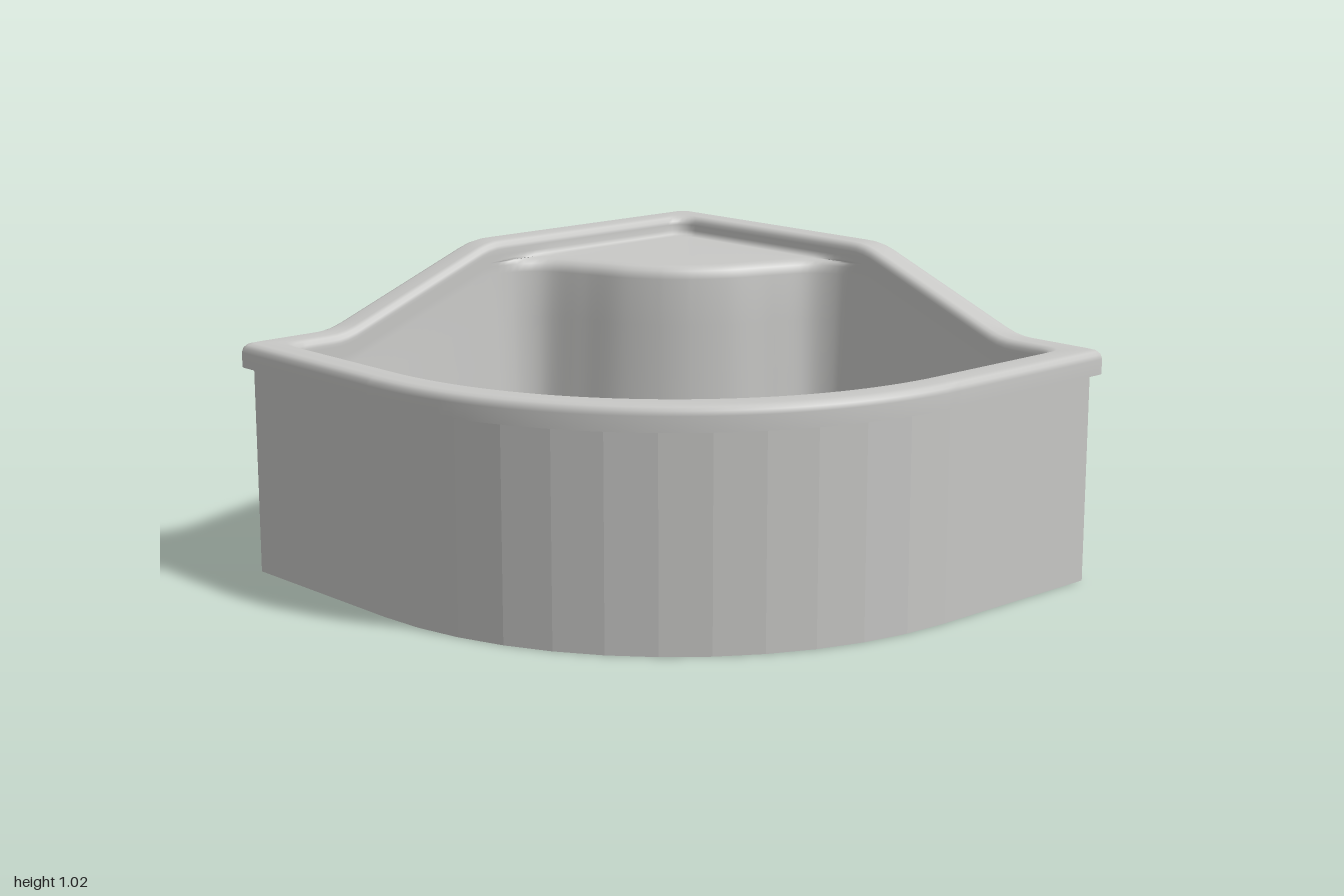
import * as THREE from 'three';

const FLOOR = 0.28, SEAT = 0.95, WALL = 0.12, DRAIN = [-0.6, 0.585];

// Plan outline: square with three small corners and one big quarter round
function outline(inset, r, edgeSteps = 48, arcSteps = 40, cornerSteps = 6) {
  const e = 1 - inset, c = e - r, k = -0.28, pts = [];
  const line = (x0, z0, x1, z1) => {
    for (let j = 0; j < edgeSteps; j++) {
      const t = j / edgeSteps;
      pts.push([x0 + (x1 - x0) * t, z0 + (z1 - z0) * t]);
    }
  };
  const arc = (cx, cz, rad, from, n) => {
    for (let j = 0; j < n; j++) {
      const a = from + (j / n) * Math.PI / 2;
      pts.push([cx + rad * Math.cos(a), cz + rad * Math.sin(a)]);
    }
  };
  line(-e, c, -e, -c);
  arc(-c, -c, r, Math.PI, cornerSteps);
  line(-c, -e, c, -e);
  arc(c, -c, r, -Math.PI / 2, cornerSteps);
  line(e, -c, e, k);
  arc(k, k, e - k, 0, arcSteps);
  line(k, e, -c, e);
  arc(-c, c, r, Math.PI / 2, cornerSteps);
  return pts;
}

// Rim height: high round the back corner, sloping down along both walls
function rimHeight(x, z) {
  if (Math.min(x, z) > -0.7) return 0.78;
  let sum = 0;
  for (let j = -3; j <= 3; j++) {
    const t = (Math.max(x, z) + j * 0.015 - 0.03) / 0.62;
    sum += 1.02 - 0.24 * Math.min(1, Math.max(0, t));
  }
  return sum / 7;
}

// Skin a list of closed rings
function loft(rings, flat) {
  const n = rings[0].length, index = [];
  for (let k = 0; k < rings.length - 1; k++) {
    for (let i = 0; i < n; i++) {
      const a = k * n + i, b = k * n + (i + 1) % n;
      index.push(a, a + n, b, b, a + n, b + n);
    }
  }
  let g = new THREE.BufferGeometry();
  g.setAttribute('position', new THREE.Float32BufferAttribute(rings.flat(2), 3));
  g.setIndex(index);
  if (flat) g = g.toNonIndexed();
  g.computeVertexNormals();
  return g;
}

export function createModel() {
  const group = new THREE.Group();
  const acrylic = new THREE.MeshStandardMaterial({ color: 0xc8c8c6, side: THREE.DoubleSide });
  acrylic.name = 'light grey acrylic';
  const add = (name, geometry) => {
    const mesh = new THREE.Mesh(geometry, acrylic);
    mesh.name = name;
    group.add(mesh);
    return mesh;
  };

  // Ring whose height is measured from the rim top
  const rimRing = (inset, drop, r) =>
    outline(inset, r).map(([x, z]) => [x, rimHeight(x, z) - drop, z]);

  // Hollow skirt with a sloping top and open bottom
  const skirtRing = (inset, y) => outline(inset, 0.001, 48, 12, 1)
    .map(([x, z]) => [x, y ?? rimHeight(x, z) - 0.075, z]);
  add('skirt', loft([skirtRing(0.095), skirtRing(0.095, 0), skirtRing(0.035, 0), skirtRing(0.035)], true));

  // Underside of the overhanging rim
  add('rimUnderside', loft([rimRing(0.06, 0.08, 0.03), rimRing(0, 0.08, 0.03)]));

  // S-shaped front edge of the corner seat
  const half = [[-0.88, 0], [-0.865, -0.07], [-0.81, -0.15], [-0.68, -0.21], [-0.52, -0.27]];
  const seatPts = [...half, [-0.375, -0.375], ...half.map(([x, z]) => [z, x]).reverse()];
  const seatCurve = new THREE.CatmullRomCurve3(seatPts.map(([x, z]) => new THREE.Vector3(x, 0, z)));

  // For every point of the inner rim: matching seat edge point, if any
  const inner = outline(WALL, 0.07);
  const stations = inner.map(([x, z]) => {
    const level = Math.min(SEAT, rimHeight(x, z) - 0.06);
    if (Math.min(x, z) > -0.7 || Math.max(x, z) >= -0.001) return { x, z, level, seat: null };
    const u = Math.min(1, Math.max(0, (x - z + 0.88) / 1.76));
    const p = seatCurve.getPointAt(u), t = seatCurve.getTangentAt(u);
    const gap = Math.hypot(p.x - x, p.z - z);
    return { x, z, level, seat: { p, t, gap, w: Math.min(1, gap / 0.1) } };
  });

  // Ring on the seat: a given distance away from the rim
  const seatRing = (dist, rise) => stations.map(({ x, z, level, seat }) => {
    if (!seat) return [x, level + rise, z];
    const f = seat.gap > 1e-5 ? dist * seat.w / seat.gap : 0;
    return [x + (seat.p.x - x) * f, level + rise, z + (seat.p.z - z) * f];
  });
  // Ring on the basin wall: offset d inward; y fixed or dropped from seat level
  const wallRing = (d, yOf) => {
    const plain = outline(WALL + Math.max(0, d), 0.07);
    return stations.map(({ level, seat }, i) => {
      const y = yOf(level);
      if (!seat) return [plain[i][0], y, plain[i][1]];
      const o = d < 0 ? d * seat.w : d;
      return [seat.p.x - seat.t.z * o, y, seat.p.z + seat.t.x * o];
    });
  };

  const rings = [
    // rounded rim
    rimRing(0, 0.08, 0.03), rimRing(0, 0.03, 0.03), rimRing(0.004, 0.015, 0.03),
    rimRing(0.013, 0.005, 0.03), rimRing(0.03, 0, 0.03), rimRing(0.095, 0, 0.06),
    rimRing(0.11, 0.006, 0.07), rimRing(0.118, 0.018, 0.07), rimRing(WALL, 0.03, 0.07),
    // seat
    seatRing(0, 0.02), seatRing(0.008, 0.006), seatRing(0.03, 0),
    wallRing(-0.06, (l) => l - 0.002), wallRing(-0.035, (l) => l - 0.006),
    wallRing(-0.012, (l) => l - 0.018), wallRing(0, (l) => l - 0.045),
  ];
  // tapering wall, then the fillet into the floor
  for (const t of [0.33, 0.67, 1]) {
    rings.push(wallRing(0.03 * t, (l) => (l - 0.045) * (1 - t) + 0.42 * t));
  }
  for (const [d, y] of [[0.034, 0.36], [0.042, 0.325], [0.056, 0.3], [0.075, 0.285], [0.1, FLOOR]]) {
    rings.push(wallRing(d, () => y));
  }
  add('rimSeatAndBasinWall', loft(rings));

  // Basin floor with a drain opening
  const floorShape = new THREE.Shape(rings[rings.length - 1].map(([x, , z]) => new THREE.Vector2(x, -z)));
  const hole = new THREE.Path();
  hole.absarc(DRAIN[0], -DRAIN[1], 0.095, 0, Math.PI * 2, true);
  floorShape.holes.push(hole);
  const floor = add('basinFloor', new THREE.ShapeGeometry(floorShape, 24).rotateX(-Math.PI / 2));
  floor.position.y = FLOOR;

  // Dished drain collar
  const collar = [[0.07, -0.04], [0.071, -0.022], [0.078, -0.008], [0.096, 0]];
  const drain = add('drainCollar', new THREE.LatheGeometry(collar.map(([r, y]) => new THREE.Vector2(r, y)), 48));
  drain.position.set(DRAIN[0], FLOOR, DRAIN[1]);

  return group;
}
